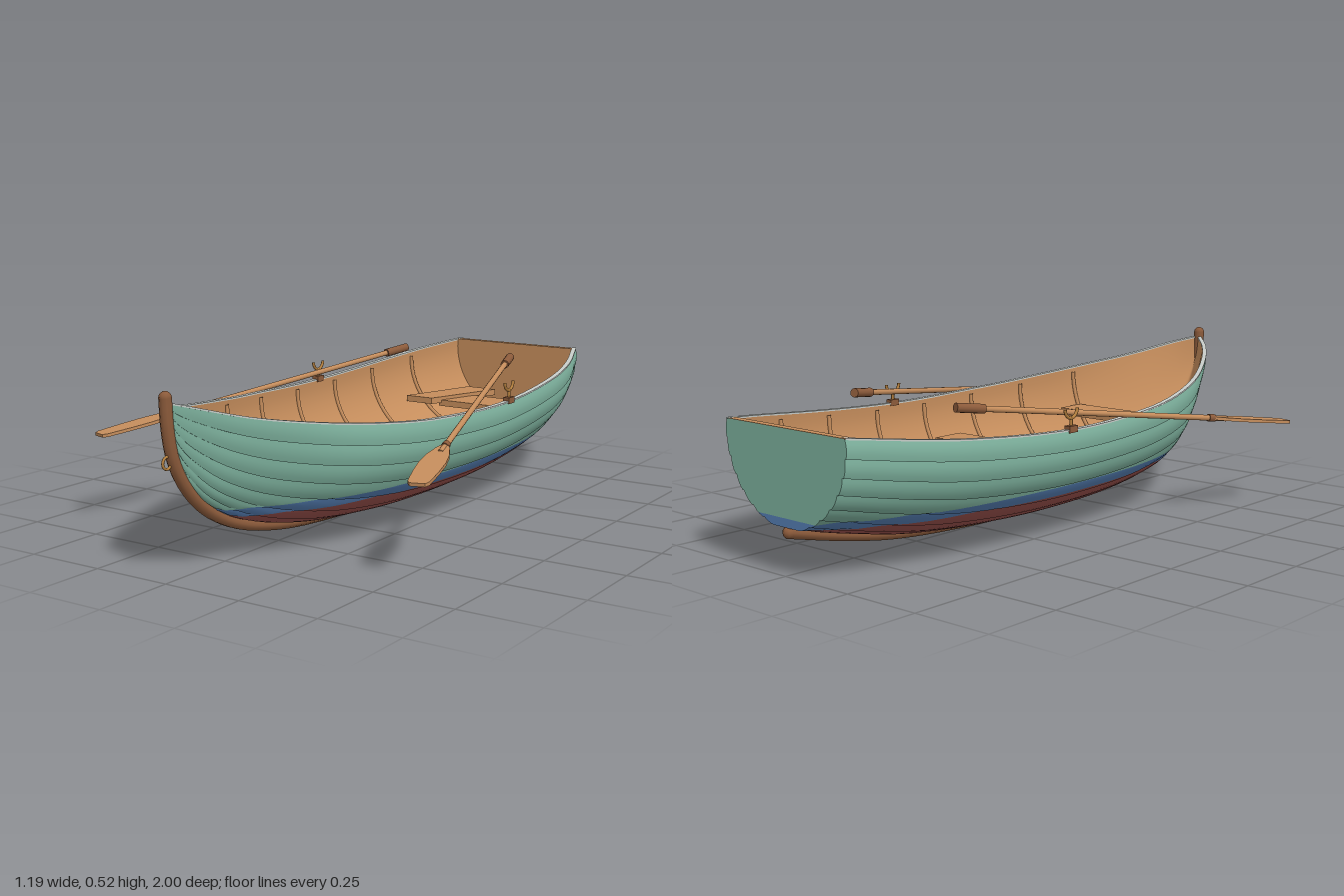
import * as THREE from 'three';

const mat = (name, color, side = THREE.FrontSide) => new THREE.MeshStandardMaterial({ name, color, side });

// Smooth curve y(x) through a few points (Hermite interpolation)
function smooth(pts) {
  const n = pts.length;
  const slope = (i) => {
    const a = pts[Math.max(0, i - 1)], b = pts[Math.min(n - 1, i + 1)];
    return (b[1] - a[1]) / (b[0] - a[0]);
  };
  return (x) => {
    let i = 0;
    while (i < n - 2 && x > pts[i + 1][0]) i++;
    const [x0, y0] = pts[i], [x1, y1] = pts[i + 1], h = x1 - x0, s = (x - x0) / h;
    const s2 = s * s, s3 = s2 * s;
    return y0 * (2 * s3 - 3 * s2 + 1) + y1 * (3 * s2 - 2 * s3)
      + h * (slope(i) * (s3 - 2 * s2 + s) + slope(i + 1) * (s3 - s2));
  };
}

// Surface from fn(i, j); collapsed triangles are dropped
function grid(nu, nv, fn, flip = false) {
  const pos = [], index = [];
  for (let i = 0; i <= nu; i++) for (let j = 0; j <= nv; j++) pos.push(...fn(i, j));
  const same = (a, b) => [0, 1, 2].every((k) => Math.abs(pos[a * 3 + k] - pos[b * 3 + k]) < 1e-6);
  const tri = (a, b, c) => {
    if (!same(a, b) && !same(b, c) && !same(a, c)) index.push(...(flip ? [a, c, b] : [a, b, c]));
  };
  for (let i = 0; i < nu; i++) for (let j = 0; j < nv; j++) {
    const a = i * (nv + 1) + j, b = a + nv + 1;
    tri(a, b, b + 1);
    tri(a, b + 1, a + 1);
  }
  const g = new THREE.BufferGeometry();
  g.setAttribute('position', new THREE.Float32BufferAttribute(pos, 3));
  g.setIndex(index);
  g.computeVertexNormals();
  return g;
}

// Hull lines along z: keel and stem centre, sheer height, half beam
const keelPts = [[-0.984, 0.122], [-0.8, 0.08], [-0.6, 0.045], [-0.3, 0.023], [0, 0.019], [0.25, 0.027],
  [0.5, 0.053], [0.7, 0.103], [0.83, 0.172], [0.91, 0.25], [0.955, 0.33], [0.975, 0.42], [0.98, 0.506]];
const keelY = smooth(keelPts);
const sheerY = smooth([[-0.992, 0.411], [-0.6, 0.368], [-0.2, 0.346], [0.2, 0.357], [0.4, 0.374], [0.6, 0.4], [0.8, 0.437], [0.97, 0.488]]);
const beam = smooth([[-0.992, 0.245], [-0.8, 0.314], [-0.6, 0.354], [-0.25, 0.38], [0, 0.377], [0.2, 0.36],
  [0.4, 0.32], [0.6, 0.252], [0.8, 0.15], [0.9, 0.082], [0.97, 0.014]]);
const STERN = -0.992, BOW = 0.97, STATIONS = 44, STRAKES = 8, ANGLE = 1.65;
const stationZ = (i) => STERN + (BOW - STERN) * Math.sin((i / STATIONS) * Math.PI / 2 * 0.92) / Math.sin(Math.PI / 2 * 0.92);
const bottomY = (z) => keelY(z) + 0.012;

// Point on a section: t = 0 at the keel, 1 at the sheer, pushed outward by d
function section(z, t, d = 0, inset = 0, lift = 0) {
  const a = t * ANGLE, w = Math.max(0.002, beam(z) - inset), yk = bottomY(z) + inset + lift;
  const h = Math.max(0.01, sheerY(z) - yk), vee = THREE.MathUtils.smoothstep(z, 0.45, 1) * 0.6;
  const x = w * THREE.MathUtils.lerp(Math.sin(a), (1 - Math.cos(a)) / (1 - Math.cos(ANGLE)), vee);
  const y = yk + h * (1 - Math.cos(a)) / (1 - Math.cos(ANGLE));
  const nx = Math.sin(a) / w, ny = -Math.cos(a) / h, l = Math.hypot(nx, ny);
  return [x + d * nx / l, y + d * ny / l, z];
}
function heightToT(z, y) {
  const yk = bottomY(z), c = 1 - (y - yk) / (sheerY(z) - yk) * (1 - Math.cos(ANGLE));
  return c >= 1 ? 0 : Math.min(1, Math.acos(Math.max(c, Math.cos(ANGLE))) / ANGLE);
}
// Overlapping planks: each one is slightly rounded and stands proud at its lower edge
function plankPoint(z, k, u, yLo, yHi) {
  const raw = (k + u) / STRAKES;
  const t = THREE.MathUtils.clamp(raw, heightToT(z, yLo), heightToT(z, yHi));
  if (t !== raw) { k = Math.min(STRAKES - 1, Math.floor(t * STRAKES)); u = t * STRAKES - k; }
  const lap = k === 0 ? 0 : 0.005 * (1 - u) + 0.003 * Math.sin(Math.PI * u);
  return section(z, t, lap * Math.min(1, beam(z) / 0.12));
}

export function createModel() {
  const boat = new THREE.Group();
  boat.name = 'rowingBoat';
  const D = THREE.DoubleSide;
  const green = mat('green paint', 0x7fb39f, D), blue = mat('blue paint', 0x5680b6, D), red = mat('red paint', 0x9c524d, D);
  const wood = mat('light wood', 0xc58d5c, D), dark = mat('dark wood', 0x8c5b3b), rail = mat('pale rail', 0xc8cdc9, D);
  const brass = mat('brass', 0xb5803f);
  const add = (name, geo, m, x = 0, y = 0, z = 0, parent = boat) => {
    const mesh = new THREE.Mesh(geo, m);
    mesh.name = name;
    mesh.position.set(x, y, z);
    parent.add(mesh);
    return mesh;
  };

  // Planked hull and transom in three paint bands
  const bands = [['bottom', red, -1, 0.137], ['waterline', blue, 0.137, 0.167], ['topside', green, 0.167, 9]];
  for (const [name, m, lo, hi] of bands) {
    const hull = new THREE.Group();
    hull.name = name + 'Planking';
    boat.add(hull);
    for (let k = 0; k < STRAKES; k++) {
      for (const s of [1, -1]) {
        const side = (p) => [p[0] * s, p[1], p[2]];
        add(name + 'Plank', grid(STATIONS, 4, (i, j) => side(plankPoint(stationZ(i), k, j / 4, lo, hi)), s > 0), m, 0, 0, 0, hull);
        if (k > 0) {
          add(name + 'PlankEdge', grid(STATIONS, 1, (i, j) => side(j ? plankPoint(stationZ(i), k, 0, lo, hi)
            : plankPoint(stationZ(i), k - 1, 1, lo, hi)), s > 0), m, 0, 0, 0, hull);
        }
      }
      add(name + 'Transom', grid(1, 4, (i, j) => {
        const p = plankPoint(STERN, k, j / 4, lo, hi);
        return [i ? p[0] : -p[0], p[1], p[2]];
      }, true), m, 0, 0, 0, hull);
    }
  }

  // Inner skin (deepening over the stem at the bow), inner transom and its top edge
  const inner = (z, t, inset) => {
    const p = section(z, Math.abs(t), 0, inset, 0.05 * THREE.MathUtils.smoothstep(z, 0.55, 0.95));
    return [p[0] * Math.sign(t), p[1], z];
  };
  add('innerSkin', grid(STATIONS, 32, (i, j) => inner(stationZ(i), j / 16 - 1, 0.013)), wood);
  add('innerTransom', grid(1, 16, (i, j) => inner(-0.968, (i ? 1 : -1) * j / 16, 0.01)), wood);
  add('transomTop', new THREE.BoxGeometry(0.48, 0.006, 0.024), wood, 0, 0.409, -0.979);

  // Gunwale rails
  const railSection = [[0.002, -0.002], [0.002, 0.003], [-0.015, 0.003], [-0.015, -0.002], [0.002, -0.002]];
  for (const s of [1, -1]) {
    const g = grid(STATIONS, 4, (i, j) => {
      const z = stationZ(i), [dx, dy] = railSection[j];
      return [s * Math.max(0, beam(z) + dx), sheerY(z) + dy, z];
    }, s > 0).toNonIndexed();
    g.computeVertexNormals();
    add('gunwale', g, rail);
  }

  // Keel and stem in one bent timber with rounded ends
  const keelCurve = new THREE.CatmullRomCurve3(keelPts.map(([z, y]) => new THREE.Vector3(0, y, z)));
  add('keelAndStem', new THREE.TubeGeometry(keelCurve, 70, 0.018, 10), dark);
  for (const [z, y] of [keelPts[0], keelPts.at(-1)]) add('keelEnd', new THREE.SphereGeometry(0.018, 10, 8), dark, 0, y, z);
  add('bowRing', new THREE.TorusGeometry(0.017, 0.004, 8, 18).rotateY(Math.PI / 2), brass, 0, 0.33, 0.98);

  // Ribs
  for (let i = 0; i < 7; i++) {
    const z = -0.745 + i * 0.2165, pts = [];
    for (let j = -12; j <= 12; j++) pts.push(new THREE.Vector3(...inner(z, j / 12.4, 0.015)));
    add('rib', new THREE.TubeGeometry(new THREE.CatmullRomCurve3(pts), 36, 0.007, 6), wood);
  }

  // Floorboards bent along the keel
  for (const x of [-0.093, 0, 0.093]) {
    const g = new THREE.BoxGeometry(0.068, 0.014, 1.02, 1, 1, 20).translate(x, 0, -0.06), p = g.attributes.position;
    for (let i = 0; i < p.count; i++) p.setY(i, p.getY(i) + bottomY(p.getZ(i)) + 0.042);
    g.computeVertexNormals();
    add('floorboard', g, dark);
  }

  // Thwarts, support post and stern seat
  add('middleThwart', new THREE.BoxGeometry(0.62, 0.024, 0.118), wood, 0, 0.21, -0.04);
  add('thwartPost', new THREE.BoxGeometry(0.03, 0.13, 0.03), dark, 0, 0.138, -0.04);
  add('bowThwart', new THREE.BoxGeometry(0.46, 0.024, 0.108), wood, 0, 0.25, 0.51);
  add('sternSeat', new THREE.BoxGeometry(0.32, 0.022, 0.15), wood, 0, 0.213, -0.768);
  const plate = (pts, depth) => new THREE.ExtrudeGeometry(new THREE.Shape(pts.map((p) => new THREE.Vector2(...p))),
    { depth, bevelEnabled: false }).rotateX(Math.PI / 2);
  for (const s of [1, -1]) {
    add('sternSideBench', plate([[0.06, -0.94], [0.175, -0.94], [0.272, -0.65], [0.165, -0.65]].map(([x, z]) => [s * x, z]), 0.022),
      wood, 0, 0.236, 0);

    // Oarlock: block, pin and horns
    const lock = new THREE.Group();
    lock.name = 'oarlock';
    lock.position.set(s * 0.374, 0.35, -0.23);
    boat.add(lock);
    add('oarlockBlock', new THREE.BoxGeometry(0.022, 0.02, 0.036), dark, 0, 0, 0, lock);
    add('oarlockPin', new THREE.CylinderGeometry(0.005, 0.005, 0.03, 8), brass, 0, 0.02, 0, lock);
    add('oarlockHorns', new THREE.TorusGeometry(0.028, 0.005, 8, 16, Math.PI).rotateZ(Math.PI).rotateY(Math.PI / 2), brass, 0, 0.06, 0, lock);

    // Oar laid from the grip inboard to the blade outboard
    const oar = new THREE.Group();
    oar.name = 'oar';
    oar.position.set(s * 0.21, 0.434, -0.545);
    oar.lookAt(s * 0.572, 0.28, 0.65);
    boat.add(oar);
    const rod = (name, r, a, b, m) => add(name, new THREE.CylinderGeometry(r, r, b - a, 12).rotateX(Math.PI / 2), m, 0, 0, (a + b) / 2, oar);
    rod('oarGrip', 0.014, 0, 0.095, dark);
    rod('oarShaft', 0.009, 0.09, 1.0, wood);
    rod('oarCollar', 0.012, 0.925, 0.95, dark);
    const half = [[0.009, 0.94], [0.02, 0.97], [0.033, 1.03], [0.038, 1.09], [0.036, 1.16], [0.03, 1.24], [0.022, 1.256]];
    add('oarBlade', plate([...half, ...half.map(([x, z]) => [-x, z]).reverse()], 0.01), wood, 0, 0.005, 0, oar);
  }
  return boat;
}
